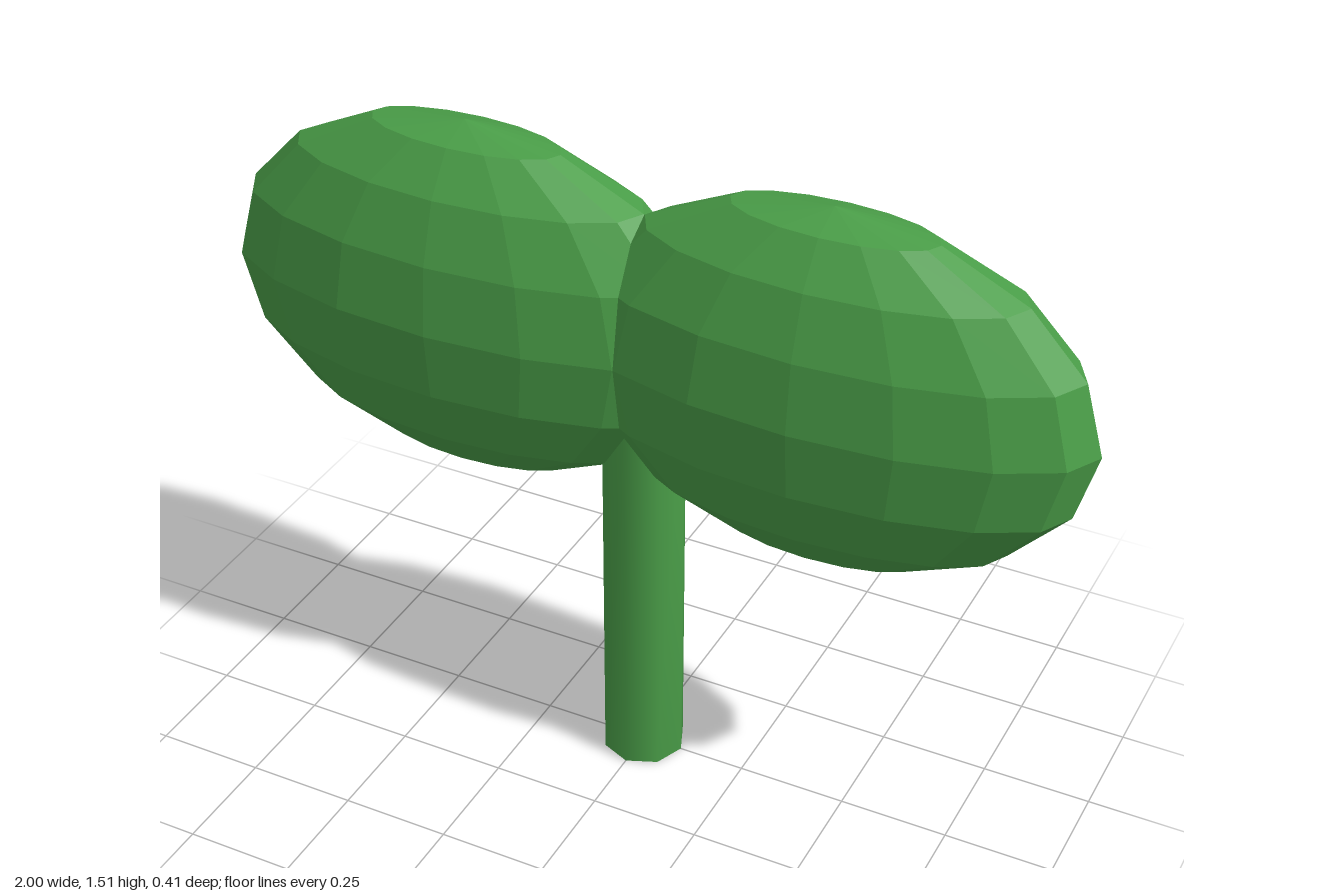
import * as THREE from 'three';
import { mergeVertices } from 'three/addons/utils/BufferGeometryUtils.js';

export function createModel() {
  const model = new THREE.Group();
  model.name = 'sprout';

  const green = new THREE.MeshStandardMaterial({ color: 0x4a9e48 });
  green.name = 'leaf green';

  // Faceted leaves: two flattened ellipsoids meeting over the stem
  for (const side of [-1, 1]) {
    const geometry = new THREE.SphereGeometry(1, 16, 8)
      .scale(0.585, 0.415, 0.207)
      .toNonIndexed();
    geometry.computeVertexNormals();
    const leaf = new THREE.Mesh(geometry, green);
    leaf.name = side > 0 ? 'leftLeaf' : 'rightLeaf';
    leaf.position.set(side * 0.415, 1.093, 0);
    model.add(leaf);
  }

  // Stem: eight sides, with normals blended softly into its end caps
  const height = 1;
  let stemGeometry = new THREE.CylinderGeometry(0.095, 0.095, height, 8);
  stemGeometry.deleteAttribute('normal');
  stemGeometry.deleteAttribute('uv');
  stemGeometry = mergeVertices(stemGeometry);
  stemGeometry.computeVertexNormals();
  const stem = new THREE.Mesh(stemGeometry, green);
  stem.name = 'stem';
  stem.position.y = height / 2;
  model.add(stem);

  return model;
}
